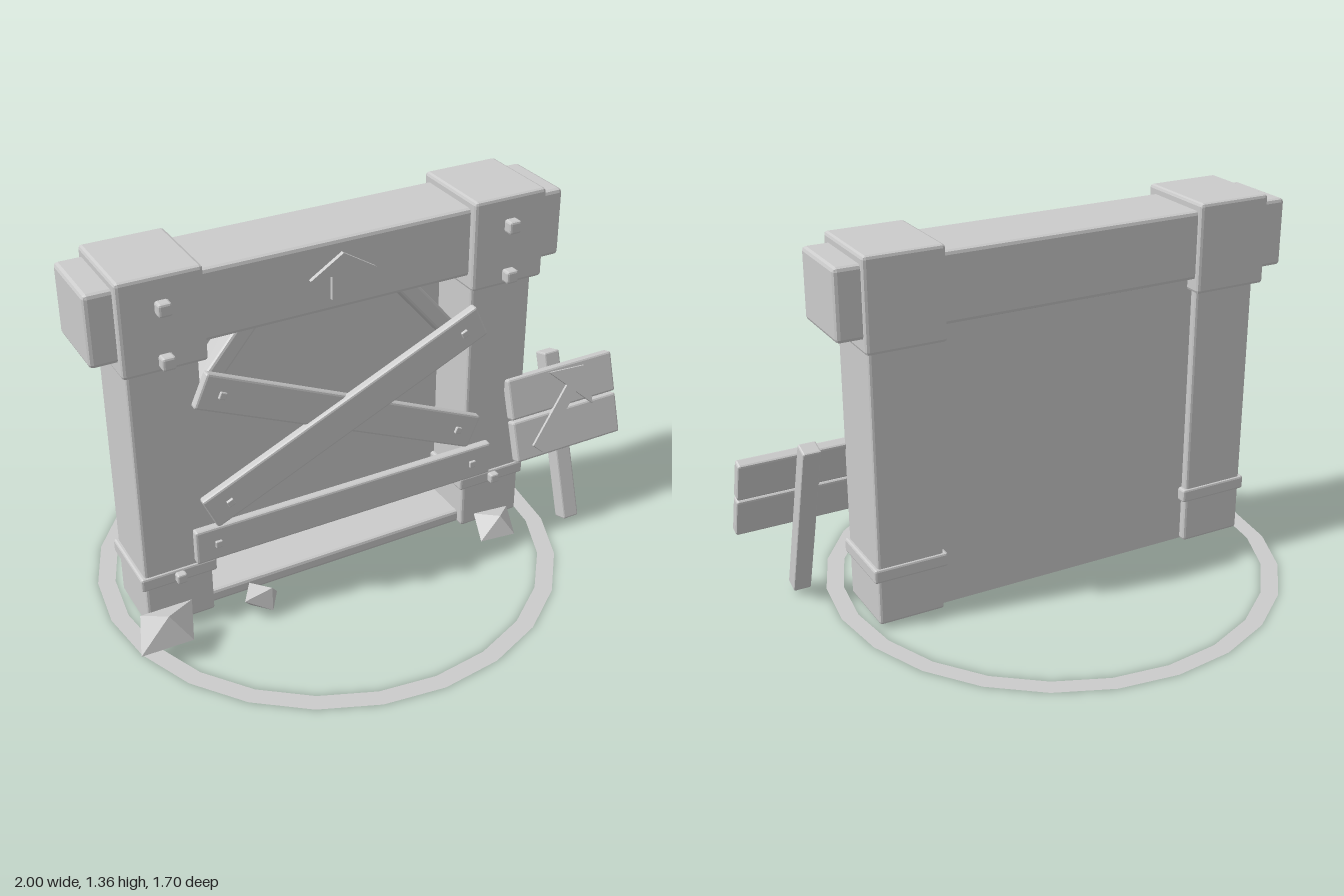
import * as THREE from 'three';
import { RoundedBoxGeometry } from 'three/addons/geometries/RoundedBoxGeometry.js';

const mat = new THREE.MeshStandardMaterial({ color: 0xcccccc, flatShading: true });
const thinMat = new THREE.MeshStandardMaterial({ color: 0xcccccc, flatShading: true, side: THREE.DoubleSide });
const CX = -0.14; // middle of the gateway

function add(parent, name, geo, x, y, z, material = mat) {
  const m = new THREE.Mesh(geo, material);
  m.name = name;
  m.position.set(x, y, z);
  parent.add(m);
  return m;
}

// Box with chamfered edges
function block(parent, name, w, h, d, x, y, z, bevel = 0.01) {
  return add(parent, name, new RoundedBoxGeometry(w, h, d, 1, bevel), x, y, z);
}

// Flat arrow pointing up, centred on its own middle
function arrow(headW, shaftW, h, headH, depth) {
  const a = headW / 2, s = shaftW / 2, neck = h / 2 - headH;
  const pts = [[0, h / 2], [-a, neck], [-s, neck], [-s, -h / 2], [s, -h / 2], [s, neck], [a, neck]];
  const shape = new THREE.Shape(pts.map(p => new THREE.Vector2(...p)));
  return new THREE.ExtrudeGeometry(shape, { depth, bevelEnabled: false });
}

// Nailed board, turned in the front plane
function board(parent, name, length, height, x, y, z, angle) {
  const g = new THREE.Group();
  g.name = name;
  g.position.set(x, y, z);
  g.rotation.z = angle;
  block(g, 'plank', length, height, 0.034, 0, 0, 0, 0.008);
  for (const s of [-1, 1]) block(g, 'nail', 0.025, 0.025, 0.02, s * (length / 2 - 0.08), 0, 0.017, 0.003);
  parent.add(g);
}

export function createModel() {
  const model = new THREE.Group();
  model.name = 'boardedGateway';

  // Posts with caps, straps, studs and knee braces
  for (const s of [-1, 1]) {
    const x = CX + s * 0.632;
    block(model, 'post', 0.246, 1.05, 0.26, x, 0.543, 0);
    block(model, 'postCap', 0.286, 0.33, 0.33, x, 1.195, 0, 0.012);
    for (const y of [1.07, 1.255]) block(model, 'capStud', 0.046, 0.046, 0.06, x, y, 0.17, 0.008);
    block(model, 'postStrap', 0.276, 0.052, 0.275, x, 0.214, 0, 0.008);
    block(model, 'strapStud', 0.036, 0.036, 0.04, x, 0.214, 0.143, 0.006);
    const brace = block(model, 'kneeBrace', 0.36, 0.065, 0.1, CX + s * 0.37, 0.965, 0);
    brace.rotation.z = -s * 0.87;
  }

  // Lintel, sill and back panel
  block(model, 'lintel', 1.73, 0.25, 0.28, CX, 1.205, -0.005, 0.014);
  block(model, 'sill', 1.04, 0.05, 0.2, CX, 0.045, 0, 0.012);
  add(model, 'backPanel', new THREE.BoxGeometry(1.04, 1.07, 0.02), CX, 0.555, -0.09);
  add(model, 'lintelArrow', arrow(0.24, 0.085, 0.16, 0.075, 0.018), CX, 1.205, 0.132);

  // Layered octagons on the panel
  [0.405, 0.27].forEach((r, i) => {
    const disc = add(model, 'octagonDisc', new THREE.CircleGeometry(r, 8), CX, 0.56, -0.07 + i * 0.012, thinMat);
    disc.rotation.z = THREE.MathUtils.degToRad(36);
  });

  // Boards nailed over the opening
  board(model, 'rearCrossBoard', 1.15, 0.13, CX, 0.69, 0.149, -0.42);
  board(model, 'frontCrossBoard', 1.15, 0.13, CX, 0.69, 0.168, 0.42);
  board(model, 'lowerBoard', 1.17, 0.13, CX, 0.339, 0.172, 0);

  // Leaning signpost
  const sign = new THREE.Group();
  sign.name = 'signpost';
  sign.position.set(0.762, 0.335, 0.168);
  sign.rotation.x = -0.31;
  block(sign, 'signStake', 0.066, 0.66, 0.06, 0, 0, 0, 0.006);
  for (const y of [0.04, 0.203]) block(sign, 'signPlank', 0.466, 0.156, 0.042, 0.003, y, 0.05, 0.008);
  const pointer = add(sign, 'signArrow', arrow(0.24, 0.05, 0.36, 0.1, 0.014), -0.02, 0.128, 0.068);
  pointer.rotation.z = -0.75;
  model.add(sign);

  // Rocks at the foot: centre, size, turn
  const rocks = [
    [-0.87, 0.1, 0.24, 0.135, 0.088, 0.1, 0.4],
    [-0.505, 0.068, 0.205, 0.085, 0.058, 0.06, -0.3],
    [0.44, 0.078, 0.245, 0.095, 0.064, 0.09, 0.35],
  ];
  for (const [x, y, z, a, b, c, turn] of rocks) {
    const geo = new THREE.OctahedronGeometry(1).rotateX(0.5).rotateY(0.45).scale(a, b, c);
    add(model, 'rock', geo, x, y, z).rotation.z = turn;
  }

  // Flat ring on the ground
  const ring = add(model, 'groundRing', new THREE.RingGeometry(0.785, 0.848, 24), CX, 0.002, 0, thinMat);
  ring.rotation.x = -Math.PI / 2;

  return model;
}
